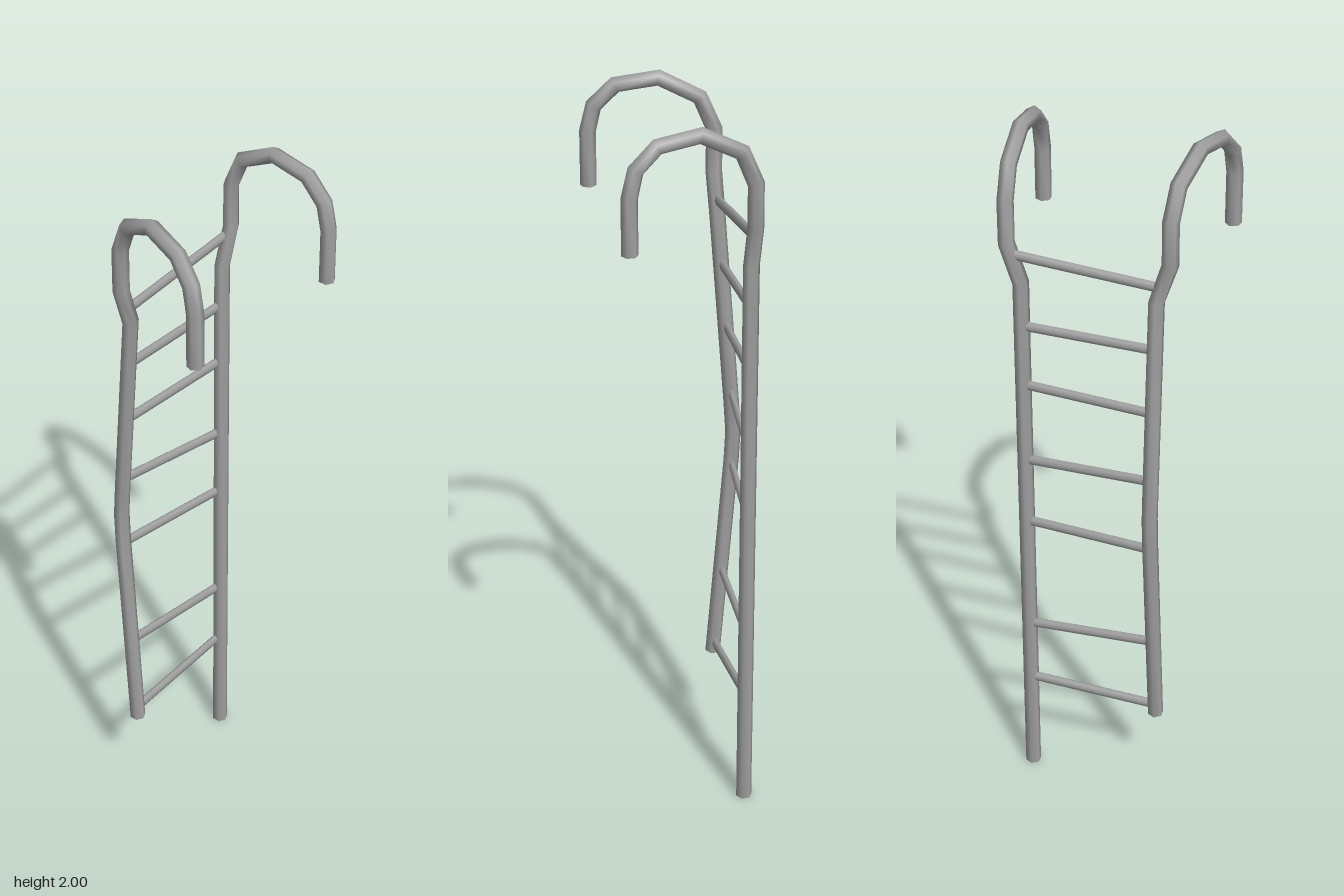
import * as THREE from 'three';

const V = (x, y, z) => new THREE.Vector3(x, y, z);
const SIDES = 6;

// Six-sided tube through straight segments; each station has a sideways axis.
function sweep(points, sides, radius) {
  const pos = [], index = [], n = points.length;
  points.forEach((p, i) => {
    const t = V(0, 0, 0);
    if (i > 0) t.add(p.clone().sub(points[i - 1]).normalize());
    if (i < n - 1) t.add(points[i + 1].clone().sub(p).normalize());
    t.normalize();
    const s = sides[i].clone().addScaledVector(t, -sides[i].dot(t)).normalize();
    const u = s.clone().cross(t);
    for (let k = 0; k < SIDES; k++) {
      const a = k / SIDES * Math.PI * 2;
      const q = p.clone().addScaledVector(u, Math.cos(a) * radius).addScaledVector(s, Math.sin(a) * radius);
      pos.push(q.x, q.y, q.z);
    }
  });
  for (let i = 0; i < n - 1; i++) {
    for (let k = 0; k < SIDES; k++) {
      const a = i * SIDES + k, b = i * SIDES + (k + 1) % SIDES;
      index.push(a, a + SIDES, b, b, a + SIDES, b + SIDES);
    }
  }
  // End caps use their own corners so the rim stays sharp
  for (const last of [false, true]) {
    const from = (last ? n - 1 : 0) * SIDES, base = pos.length / 3;
    for (let k = 0; k < SIDES * 3; k++) pos.push(pos[from * 3 + k]);
    for (let k = 1; k < SIDES - 1; k++) {
      index.push(base, base + (last ? k + 1 : k), base + (last ? k : k + 1));
    }
  }
  const g = new THREE.BufferGeometry();
  g.setAttribute('position', new THREE.Float32BufferAttribute(pos, 3));
  // Keep the winding outward whatever the direction of the frame
  const c = V(0, 0, 0).fromArray(pos, index[0] * 3), d = V(0, 0, 0).fromArray(pos, index[1] * 3);
  const e = V(0, 0, 0).fromArray(pos, index[2] * 3);
  const normal = d.sub(c).cross(e.sub(c));
  if (normal.dot(c.sub(points[0])) < 0) index.reverse();
  g.setIndex(index);
  g.computeVertexNormals();
  return g;
}

export function createModel() {
  const model = new THREE.Group();
  model.name = 'ladder';
  const steel = new THREE.MeshStandardMaterial({ color: 0xa0a0a0 });
  steel.name = 'grey steel';

  // Hook outline as [z, y], from the post over the top to the free end
  const hook = [[-0.135, 1.72], [-0.135, 1.84], [-0.099, 1.925], [0.005, 1.977],
    [0.115, 1.957], [0.17, 1.9], [0.186, 1.83], [0.186, 1.68]];

  function addRail(name, post, xBack, xFront) {
    const slope = (xFront - xBack) / 0.321;
    const arc = hook.map(([z, y]) => V(xBack + slope * (z + 0.135), y, z));
    const across = V(1, 0, -slope).normalize();
    const sides = [...post.map(() => V(1, 0, 0)), ...arc.map(() => across)];
    const mesh = new THREE.Mesh(sweep([...post, ...arc], sides, 0.022), steel);
    mesh.name = name;
    model.add(mesh);
  }
  const leftPost = [V(0.22, 0, -0.135), V(0.22, 1.61, -0.135)];
  const rightPost = [V(-0.145, 0.26, -0.135), V(-0.137, 0.88, -0.182), V(-0.136, 0.97, -0.186),
    V(-0.136, 1.06, -0.18), V(-0.136, 1.61, -0.137)];
  addRail('leftRail', leftPost, 0.255, 0.255);
  addRail('rightRail', rightPost, -0.17, -0.256);

  // Depth of the bowed right rail at a given height
  function rightZ(y) {
    for (let i = 1; i < rightPost.length; i++) {
      const a = rightPost[i - 1], b = rightPost[i];
      if (y <= b.y) return a.z + (b.z - a.z) * (y - a.y) / (b.y - a.y);
    }
    return -0.137;
  }

  // Crooked rungs: height at the right rail, height at the left rail
  const rungs = [[0.293, 0.321], [0.532, 0.515], [0.868, 0.868], [1.087, 1.069],
    [1.29, 1.306], [1.474, 1.485], [1.653, 1.692]];
  rungs.forEach(([yr, yl], i) => {
    const top = i === rungs.length - 1;
    const a = V(top ? -0.14 : -0.13, yr, rightZ(yr)), b = V(top ? 0.24 : 0.215, yl, -0.14);
    const dir = b.clone().sub(a);
    const g = new THREE.CylinderGeometry(0.015, 0.015, dir.length(), 8);
    g.scale(1, 1, 0.62);
    const x = dir.clone().normalize();
    const z = x.clone().cross(V(0, 1, 0)).normalize();
    const y = z.clone().cross(x);
    const rung = new THREE.Mesh(g, steel);
    rung.name = 'rung' + (i + 1);
    // Cylinder axis runs along the rung, its wide axis stands upright
    rung.quaternion.setFromRotationMatrix(new THREE.Matrix4().makeBasis(y.negate(), x, z));
    rung.position.copy(a).add(b).multiplyScalar(0.5);
    model.add(rung);
  });
  return model;
}
